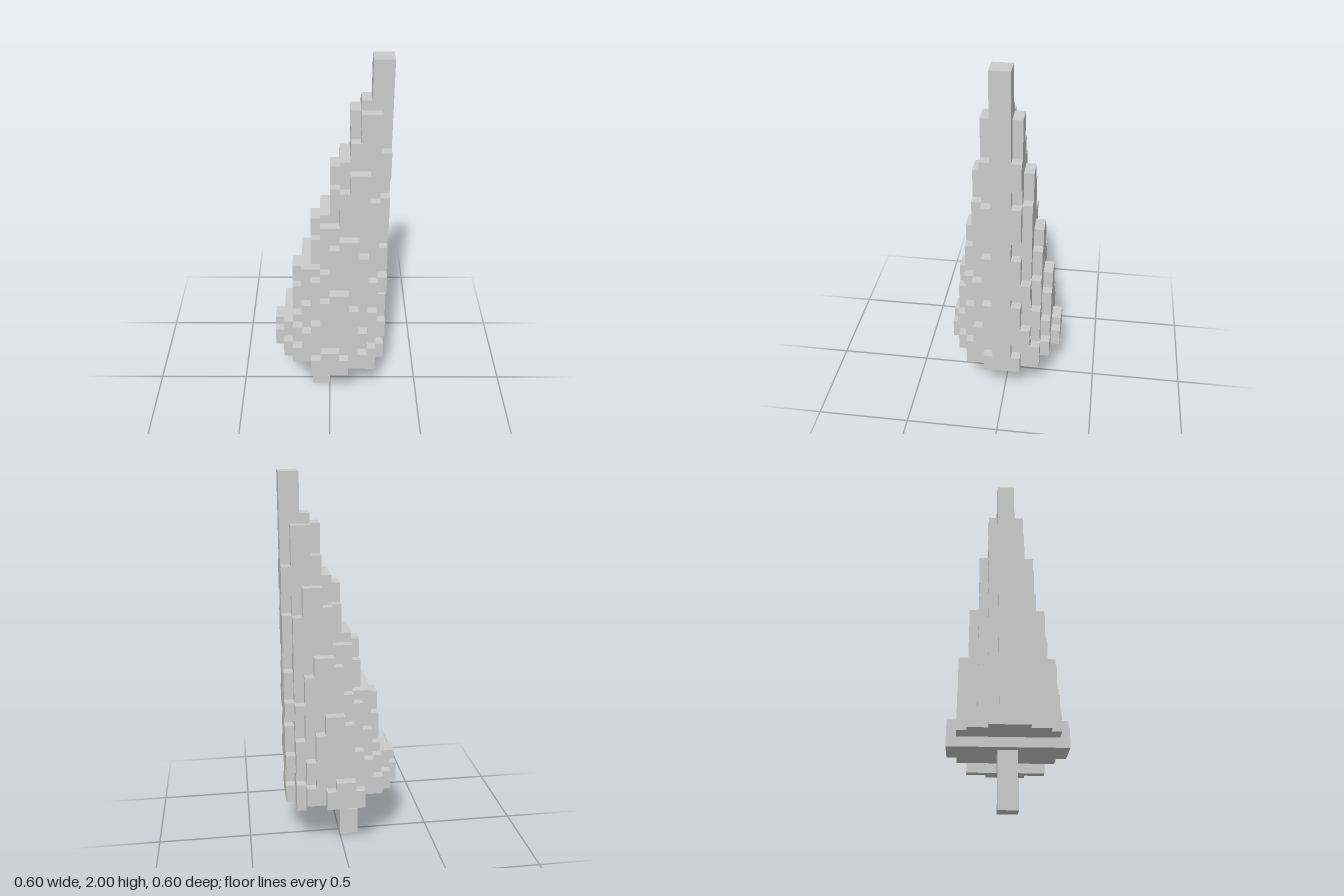
import * as THREE from 'three';

const CELL = 0.05;
const material = new THREE.MeshStandardMaterial({ color: 0xcccccc, flatShading: true });

// Leaning cone of foliage: a round section stepping sideways one cell at a time,
// with its base and radius measured along the tilted axis.
function inFoliage(x, y, z) {
  const along = y + 0.15 * x;
  if (along < 6.15 || y > 40) return false;
  const shift = Math.round((0.153 * (y - 10.315) + 0.04 * x) + 0.5);
  const radius = (46.12 - along) / 6.65;
  return Math.hypot(x - shift, z) <= radius;
}

// Crooked trunk, two cells thick
function inTrunk(x, y, z) {
  if (Math.abs(z) > 1 || y < 0 || y > 6) return false;
  const left = y < 3 ? -2 : -1;
  const right = y < 4 ? 0 : 1;
  return x > left && x < right;
}

// Outward faces of every filled cell that borders an empty one
function voxelMesh(name, inside) {
  const positions = [];
  const normals = [];
  const axes = [new THREE.Vector3(1, 0, 0), new THREE.Vector3(0, 1, 0), new THREE.Vector3(0, 0, 1)];
  const addFace = (centre, axis, sign) => {
    const n = axes[axis].clone().multiplyScalar(sign);
    const u = axes[(axis + 1) % 3];
    const v = axes[(axis + 2) % 3].clone().multiplyScalar(sign);
    const corner = (a, b) => centre.clone().addScaledVector(n, 0.5)
      .addScaledVector(u, a / 2).addScaledVector(v, b / 2).multiplyScalar(CELL);
    const [p, q, r, s] = [corner(-1, -1), corner(1, -1), corner(1, 1), corner(-1, 1)];
    for (const c of [p, q, r, p, r, s]) {
      positions.push(c.x, c.y, c.z);
      normals.push(n.x, n.y, n.z);
    }
  };

  for (let x = -5.5; x < 6; x++) {
    for (let y = 0.5; y < 40; y++) {
      for (let z = -5.5; z < 6; z++) {
        if (!inside(x, y, z)) continue;
        const centre = new THREE.Vector3(x, y, z);
        for (let axis = 0; axis < 3; axis++) {
          for (const sign of [-1, 1]) {
            const next = centre.clone().addScaledVector(axes[axis], sign);
            if (!inside(next.x, next.y, next.z)) addFace(centre, axis, sign);
          }
        }
      }
    }
  }

  const geometry = new THREE.BufferGeometry();
  geometry.setAttribute('position', new THREE.Float32BufferAttribute(positions, 3));
  geometry.setAttribute('normal', new THREE.Float32BufferAttribute(normals, 3));
  const mesh = new THREE.Mesh(geometry, material);
  mesh.name = name;
  return mesh;
}

export function createModel() {
  const tree = new THREE.Group();
  tree.name = 'leaningTree';
  tree.add(voxelMesh('foliage', inFoliage), voxelMesh('trunk', inTrunk));
  return tree;
}
